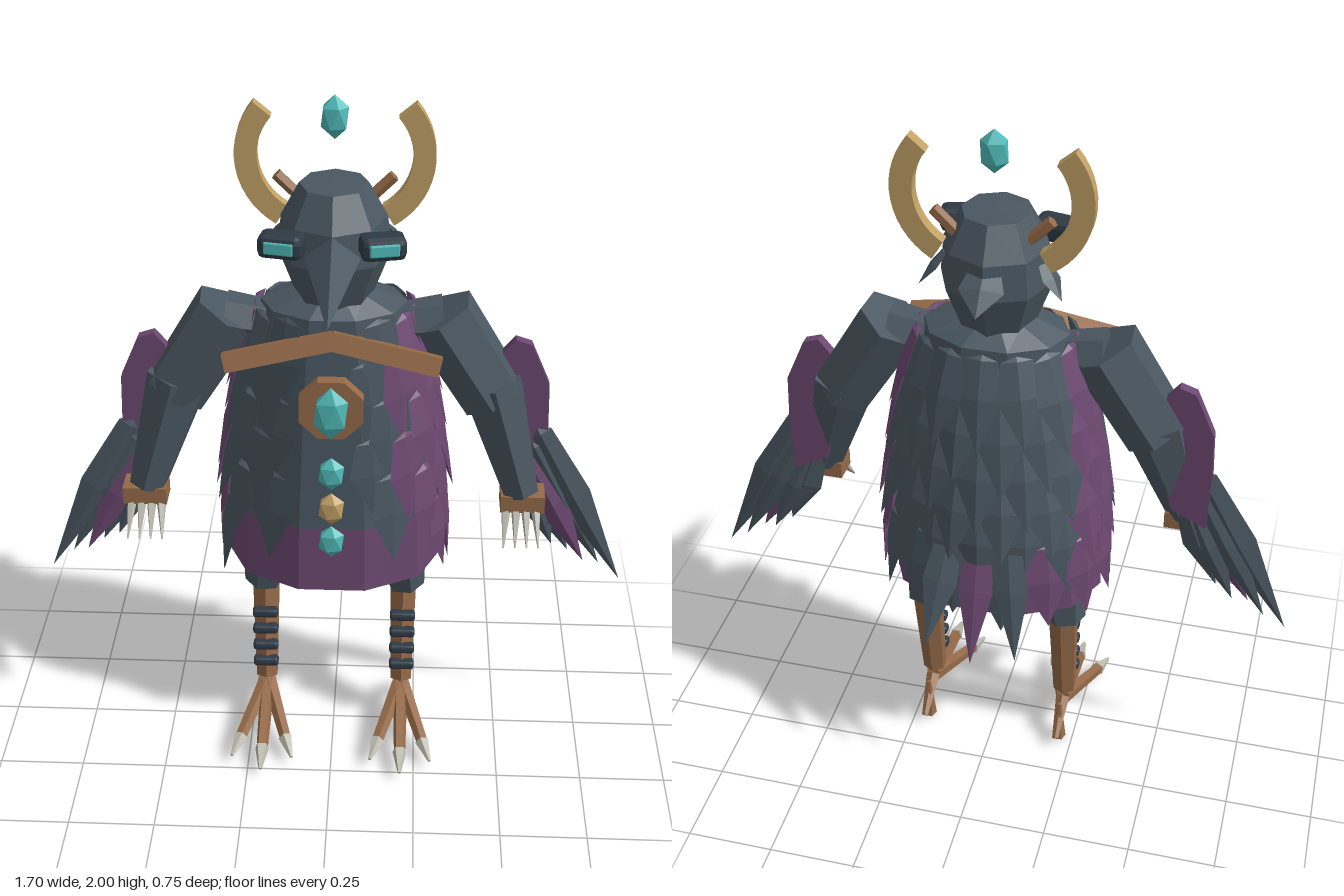
import * as THREE from 'three';
import { RoundedBoxGeometry } from 'three/addons/geometries/RoundedBoxGeometry.js';

export function createModel() {
  const model = new THREE.Group();
  model.name = 'birdShaman';
  const mat = (name, color) => {
    const m = new THREE.MeshStandardMaterial({ color });
    m.name = name;
    return m;
  };
  const slate = mat('slate feathers', 0x4a5761);
  const purple = mat('purple cloth', 0x6c4870);
  const brown = mat('brown leather', 0x956a48);
  const gold = mat('gold horn', 0xc2a166);
  const cyan = mat('cyan gem', 0x50bcba);
  const dark = mat('dark metal', 0x2e3a45);
  const bone = mat('bone claw', 0xbcbbae);

  const V = (x, y, z) => new THREE.Vector3(x, y, z);
  // Faceted mesh added to the model
  const add = (name, geo, material, pos) => {
    const g = geo.index ? geo.toNonIndexed() : geo;
    g.computeVertexNormals();
    const m = new THREE.Mesh(g, material);
    m.name = name;
    if (pos) m.position.copy(pos);
    model.add(m);
    return m;
  };
  // Tapered prism from a to b
  const limb = (name, a, b, r1, r2, sides, material) => {
    const d = b.clone().sub(a);
    const g = new THREE.CylinderGeometry(r2, r1, d.length(), sides);
    const m = add(name, g, material, a.clone().add(b).multiplyScalar(0.5));
    m.quaternion.setFromUnitVectors(V(0, 1, 0), d.normalize());
  };
  // Leaf-shaped ridged feather from root to tip, its flat side facing n
  const feather = (name, root, tip, n, w, material, thick = 0.22) => {
    const y = root.clone().sub(tip), l = y.length();
    y.normalize();
    const x = y.clone().cross(n).normalize(), z = x.clone().cross(y);
    const profile = [[0, -l], [w, -0.45 * l], [w * 0.7, -0.05 * l], [0, 0]];
    const g = new THREE.LatheGeometry(profile.map(p => new THREE.Vector2(...p)), 4).scale(1, 1, thick);
    const m = add(name, g, material, root);
    m.quaternion.setFromRotationMatrix(new THREE.Matrix4().makeBasis(x, y, z));
  };
  // Faceted gem standing on its point
  const gem = (name, material, pos, rx, ry, rz) =>
    add(name, new THREE.IcosahedronGeometry(1, 0).rotateZ(-0.5536).scale(rx, ry, rz), material, pos);

  // Robe: purple hem below a slate coat, in stacked oval rings [y, x radius, z radius]
  const rings = [[0.6, 0.31, 0.215], [0.8, 0.3, 0.198], [1.2, 0.25, 0.165], [1.43, 0.2, 0.14], [1.47, 0.1, 0.09]];
  const radii = y => {
    let i = 0;
    while (i < 3 && y > rings[i + 1][0]) i++;
    const [a, b] = [rings[i], rings[i + 1]], t = (y - a[0]) / (b[0] - a[0]);
    return [a[1] + (b[1] - a[1]) * t, a[2] + (b[2] - a[2]) * t];
  };
  for (let i = 0; i < 4; i++) {
    const [a, b] = [rings[i], rings[i + 1]];
    const g = new THREE.CylinderGeometry(1, 1, b[0] - a[0], 10, 1, i > 0, Math.PI / 10);
    const p = g.attributes.position;
    for (let k = 0; k < p.count; k++) {
      const r = p.getY(k) > 0 ? b : a;
      p.setX(k, p.getX(k) * r[1]);
      p.setZ(k, p.getZ(k) * r[2]);
    }
    add(i ? 'coat' : 'hem', g, i ? slate : purple, V(0, (a[0] + b[0]) / 2, -0.055));
  }

  // Overlapping rows of feathers round the back and sides
  for (let r = 0; r < 6; r++) {
    const y0 = 1.43 - r * 0.115, len = 0.29;
    for (let k = -6; k <= 6; k++) {
      const deg = k * 24 + (r % 2 ? 12 : 0), front = Math.abs(deg) > 122;
      if (front && r > 4) continue;
      const f = THREE.MathUtils.degToRad(deg), s = Math.sin(f), c = -Math.cos(f);
      const at = (y, out) => {
        const [rx, rz] = radii(Math.max(y, 0.6));
        return V(s * (rx + out), y, -0.055 + c * (rz + out));
      };
      const isPurple = (deg > 66 && deg < 135) || (deg < -58 && deg > -100) || (r === 5 && k === -2);
      const jag = ((k * 7 + r * 5 + 70) % 4) * 0.014;
      const flare = front ? 0 : r > 3 ? 0.03 : Math.abs(deg) < 62 ? 0.06 : 0.05;
      feather('bodyFeather', at(y0, front ? 0.003 : 0.014), at(Math.max(y0 - len + jag, 0.57), flare), V(s, 0, c),
        0.032 + 0.034 * radii(Math.max(y0 - 0.1, 0.6))[0] / 0.25, isPurple ? purple : slate, front ? 0.14 : 0.25);
    }
  }
  // Tail
  for (const k of [-1, 0, 1])
    feather('tailFeather', V(k * 0.08, 0.88, -0.25), V(k * 0.13, k ? 0.54 : 0.5, -0.375), V(0, 0, -1), 0.05, k ? slate : purple);

  // Head, beak and crest
  const head = [[0, 1.42], [0.1, 1.43], [0.158, 1.58], [0.148, 1.68], [0.097, 1.77], [0, 1.775]];
  add('head', new THREE.LatheGeometry(head.map(p => new THREE.Vector2(...p)), 8).scale(0.96, 1, 1), slate, V(0, 0, -0.05));
  limb('beak', V(0, 1.612, 0.07), V(0, 1.555, 0.375), 0.075, 0, 4, slate);
  feather('crest', V(0, 1.66, -0.17), V(0, 1.575, -0.275), V(0, 1, -0.6), 0.06, slate);

  // Chest yoke, medallion and floating gems
  for (const s of [-1, 1]) {
    const yoke = add('yoke', new THREE.BoxGeometry(0.3, 0.052, 0.055), brown, V(s * 0.143, 1.352, 0.108));
    yoke.rotation.set(-0.35, 0, -s * 0.22);
  }
  add('medallion', new THREE.CylinderGeometry(0.094, 0.094, 0.035, 8).rotateX(Math.PI / 2).rotateZ(Math.PI / 8),
    brown, V(0, 1.21, 0.158));
  gem('medallionGem', cyan, V(0, 1.21, 0.19), 0.052, 0.08, 0.026);
  [1.0, 0.885, 0.775].forEach((y, i) => gem('chestGem', i === 1 ? gold : cyan, V(0, y, 0.157), 0.04, 0.052, 0.025));
  gem('haloGem', cyan, V(0, 1.94, -0.075), 0.041, 0.06, 0.032);

  for (const s of [-1, 1]) {
    const P = (x, y, z) => V(s * x, y, z);

    // Horn
    const arc = new THREE.Shape();
    arc.absarc(0, 0, 0.225, -1.02, 0.7, false);
    arc.absarc(0, 0, 0.165, 0.7, -1.02, true);
    const horn = new THREE.ExtrudeGeometry(arc, { depth: 0.034, bevelEnabled: false, curveSegments: 7 });
    if (s < 0) horn.rotateY(Math.PI).translate(0, 0, 0.034);
    add('horn', horn, gold, P(0.04, 1.83, -0.113));
    limb('hornPeg', P(0.07, 1.69, -0.095), P(0.155, 1.775, -0.095), 0.017, 0.017, 5, brown);

    // Goggle with lens, and the cheek tuft behind it
    add('goggle', new RoundedBoxGeometry(0.12, 0.064, 0.075, 1, 0.018), dark, P(0.13, 1.657, 0.095)).rotation.y = s * 0.2;
    add('lens', new RoundedBoxGeometry(0.078, 0.034, 0.009, 1, 0.004), cyan, P(0.137, 1.66, 0.133)).rotation.y = s * 0.2;
    feather('cheekTuft', P(0.13, 1.65, -0.08), P(0.19, 1.57, -0.13), V(s, 0.6, -0.4), 0.035, slate);

    // Arm, cuff and finger claws
    limb('shoulder', P(0.16, 1.36, -0.045), P(0.3, 1.38, -0.045), 0.06, 0.07, 6, slate);
    limb('upperArm', P(0.29, 1.4, -0.045), P(0.445, 1.15, -0.04), 0.1, 0.095, 6, slate);
    limb('forearm', P(0.435, 1.19, -0.04), P(0.535, 0.86, 0.01), 0.095, 0.055, 6, slate);
    add('cuff', new THREE.BoxGeometry(0.125, 0.052, 0.08), brown, P(0.54, 0.843, 0.012));
    for (let i = 0; i < 4; i++)
      limb('fingerClaw', P(0.495 + i * 0.028, 0.83, 0.03), P(0.488 + i * 0.033, 0.735, 0.11), 0.016, 0.002, 5, bone);

    // Wing panel and wing-tip feathers
    const wing = new THREE.Shape([[0.42, 1.22], [0.5, 1.32], [0.545, 1.305], [0.6, 1.18], [0.605, 1.05], [0.6, 0.87], [0.5, 0.92]]
      .map(([x, y]) => new THREE.Vector2(s * x, y)));
    add('wingPanel', new THREE.ExtrudeGeometry(wing, { depth: 0.03, bevelEnabled: false }), purple, V(0, 0, -0.075));
    [[0.57, 1.05, 0.848, 0.53], [0.56, 1.0, 0.785, 0.575], [0.55, 0.95, 0.735, 0.6], [0.55, 0.93, 0.69, 0.62], [0.54, 0.92, 0.64, 0.65]]
      .forEach(([x, y, tx, ty], i) => feather('wingFeather', P(x, y, -0.05), P(tx, ty, i === 2 ? -0.03 : -0.04 - (i % 2) * 0.015),
        V(0, 0, 1), 0.05, i === 2 ? purple : slate, 0.4));

    // Leg with shin bands
    limb('thigh', P(0.19, 0.68, -0.06), P(0.215, 0.47, -0.08), 0.085, 0.058, 6, slate);
    limb('shin', P(0.208, 0.145, -0.03), P(0.208, 0.475, -0.08), 0.036, 0.045, 6, brown);
    for (let i = 0; i < 4; i++)
      add('shinBand', new RoundedBoxGeometry(0.076, 0.026, 0.034, 1, 0.008), dark, P(0.208, 0.215 + i * 0.058, -0.002 - i * 0.005));

    // Foot: three front toes with claws, a back toe and a spur
    const ankle = P(0.208, 0.115, -0.05);
    for (const k of [-1, 0, 1]) {
      const end = V(s * 0.208 + k * 0.068, 0.05, k ? 0.165 : 0.21);
      limb('toe', ankle, end, 0.024, 0.018, 5, brown);
      limb('toeClaw', end, V(s * 0.208 + k * 0.09, 0.035, k ? 0.235 : 0.29), 0.022, 0.005, 5, bone);
    }
    limb('backToe', ankle, P(0.208, 0.035, -0.155), 0.022, 0.01, 5, brown);
    limb('spur', P(0.208, 0, -0.105), P(0.208, 0.13, -0.1), 0.022, 0.006, 5, brown);
  }
  return model;
}
